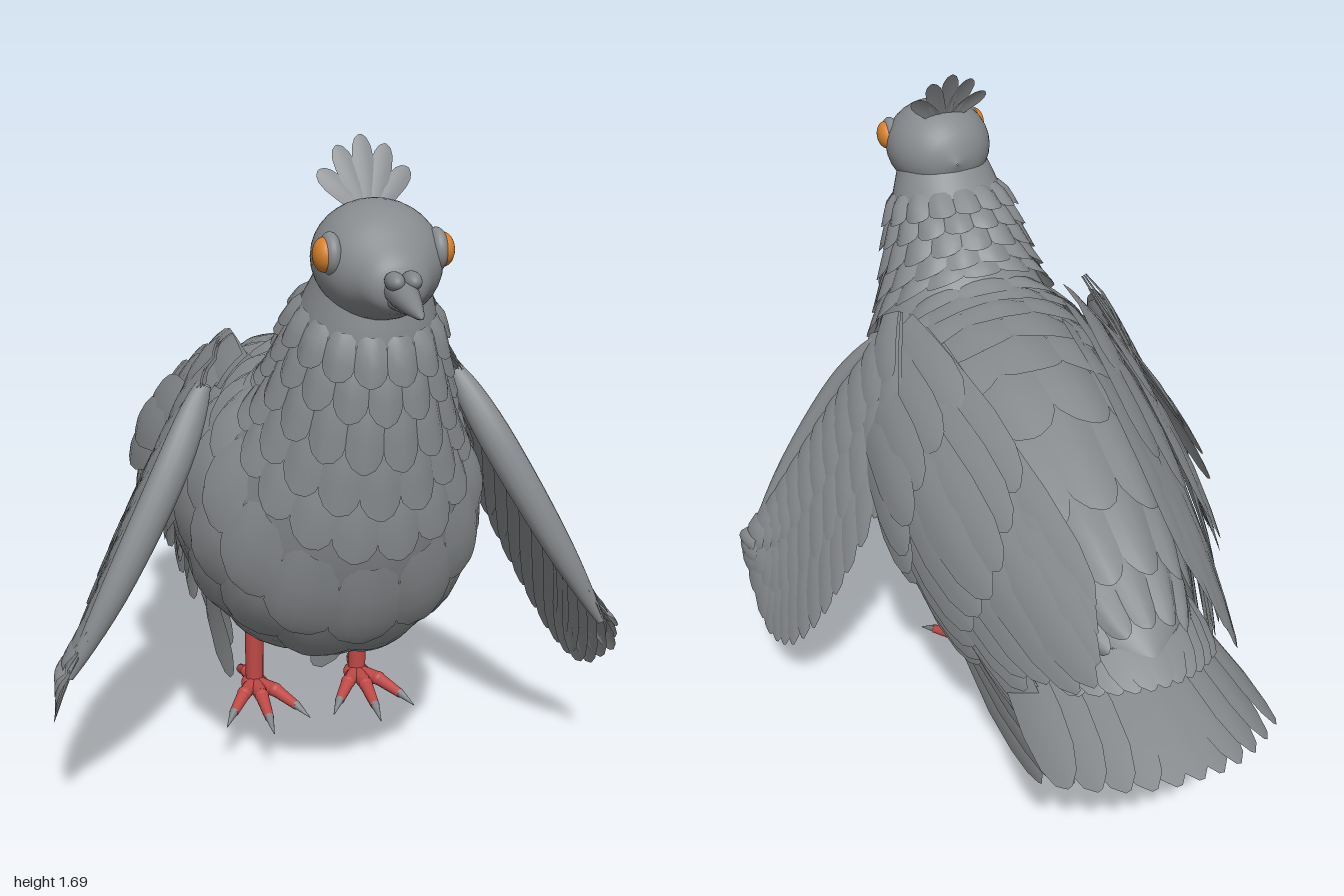
import * as THREE from 'three';
import { mergeGeometries } from 'three/addons/utils/BufferGeometryUtils.js';

const V = (x, y, z) => new THREE.Vector3(x, y, z);
const curve = (...pts) => new THREE.CatmullRomCurve3(pts.map((p) => V(...p)));
const mat = (name, color, side = THREE.FrontSide) => {
  const m = new THREE.MeshStandardMaterial({ color, side });
  m.name = name;
  return m;
};

// Open sheet from f(s, t), s in -1..1 across, t in 0..1 along
function sheet(f, cols, rows, sOf = (s) => s, tOf = (t) => t) {
  const pos = [], idx = [];
  for (let j = 0; j <= rows; j++) {
    for (let i = 0; i <= cols; i++) {
      pos.push(...f(sOf((i / cols) * 2 - 1, j), tOf(j / rows, j)).toArray());
      if (i < cols && j < rows) {
        const a = j * (cols + 1) + i, b = a + cols + 1;
        idx.push(a, a + 1, b, b, a + 1, b + 1);
      }
    }
  }
  const g = new THREE.BufferGeometry();
  g.setAttribute('position', new THREE.Float32BufferAttribute(pos, 3));
  g.setIndex(idx);
  g.computeVertexNormals();
  return g;
}

// Round-tipped feather laid on any surface f(s, t)
const ALONG = [0, 0.35, 0.65, 0.84, 0.95, 1];
const WIDE = [0.7, 0.92, 1, 0.86, 0.55, 0.12];
const feather = (f) => sheet(f, 4, 5, (s, j) => s * WIDE[j], (t, j) => ALONG[j]);

// Free feather from root a to tip b facing n
function quill(a, b, n, w, bend = 0.02) {
  const d = b.clone().sub(a);
  const side = d.clone().cross(n).normalize();
  const up = side.clone().cross(d).normalize();
  return feather((s, t) => a.clone().addScaledVector(d, t)
    .addScaledVector(side, w * s)
    .addScaledVector(up, bend * 4 * t * (1 - t) - w * 0.15 * s * s));
}

// Row of feathers between a root curve and a tip curve
function fan(roots, tips, n0, n1, count, w, bend) {
  return Array.from({ length: count }, (_, i) => {
    const k = i / (count - 1);
    return quill(roots.getPoint(k), tips.getPoint(k), n0.clone().lerp(n1, k).normalize(), w, bend);
  });
}

// Body sections from tail to neck: upper edge (half width, y, z) and lower edge (0, y, z)
const upper = curve([0.02, 0.74, -0.76], [0.12, 0.82, -0.66], [0.21, 0.96, -0.45], [0.3, 1.09, -0.1], [0.34, 1.13, 0.1],
  [0.35, 1.15, 0.24], [0.315, 1.17, 0.31], [0.255, 1.2, 0.34], [0.208, 1.25, 0.37], [0.172, 1.32, 0.41], [0.152, 1.38, 0.47], [0.125, 1.45, 0.54]);
const lower = curve([0, 0.69, -0.74], [0, 0.62, -0.64], [0, 0.51, -0.4], [0, 0.41, -0.1], [0, 0.37, 0.1],
  [0, 0.42, 0.38], [0, 0.55, 0.58], [0, 0.75, 0.685], [0, 0.95, 0.725], [0, 1.15, 0.75], [0, 1.28, 0.76], [0, 1.37, 0.75]);
function skin(u, v) {
  const k = THREE.MathUtils.clamp(u / 11, 0, 1);
  const a = upper.getPoint(k), b = lower.getPoint(k), c = Math.cos(v);
  return V(a.x * Math.sin(v), (a.y + b.y) / 2 + (a.y - b.y) / 2 * c, (a.z + b.z) / 2 + (a.z - b.z) / 2 * c);
}
function skinNormal(u, v) {
  const du = skin(u + 0.05, v).sub(skin(u - 0.05, v));
  const n = skin(u, v + 0.03).sub(skin(u, v - 0.03)).cross(du).normalize();
  return n.dot(skin(u, v).sub(skin(u, v + Math.PI))) < 0 ? n.negate() : n;
}
// Overlapping rings of feathers that follow the body
function plumage(from, to, step, length, count, lift) {
  const out = [];
  for (let u = from, row = 0; u >= to; u -= step, row++) {
    for (let i = 0; i < count; i++) {
      const v = ((i + (row % 2) / 2) / count) * Math.PI * 2;
      const half = (Math.PI / count) * 1.15;
      const n = skinNormal(u - length / 2, v);
      out.push(feather((s, t) => skin(u - t * length, v + s * half)
        .addScaledVector(n, 0.003 + lift * Math.sqrt(t) - 0.014 * s * s)));
    }
  }
  return out;
}

export function createModel() {
  const model = new THREE.Group();
  const grey = mat('plumage grey', 0x888b8e, THREE.DoubleSide);
  const dark = mat('beak grey', 0x808386);
  const red = mat('leg red', 0xc04a48);
  const orange = mat('eye orange', 0xd9822b);

  const add = (parent, name, geo, material) => {
    const m = new THREE.Mesh(Array.isArray(geo) ? mergeGeometries(geo) : geo, material);
    m.name = name;
    parent.add(m);
    return m;
  };
  const ball = (parent, name, p, r, material) => {
    const m = add(parent, name, new THREE.SphereGeometry(1, 28, 20), material);
    m.position.set(...p);
    m.scale.set(...r);
  };
  // Tapered rod between two points
  const rod = (parent, name, a, b, ra, rb, material) => {
    const p = V(...a), d = V(...b).sub(p);
    const m = add(parent, name, new THREE.CylinderGeometry(rb, ra, d.length(), 12), material);
    m.position.copy(p).addScaledVector(d, 0.5);
    m.quaternion.setFromUnitVectors(V(0, 1, 0), d.normalize());
  };

  // Body and its plumage
  add(model, 'body', sheet((s, t) => skin(t * 11, s * Math.PI), 40, 44), grey);
  add(model, 'neckFeathers', plumage(10.25, 8, 0.55, 0.9, 15, 0.026), grey);
  add(model, 'bodyFeathers', plumage(7, 1.6, 0.65, 1.1, 12, 0.024), grey);

  // Head as rings (radius, y, z) from nape to beak
  const skull = curve([0.002, 1.458, 0.515], [0.08, 1.459, 0.545], [0.124, 1.46, 0.6], [0.14, 1.457, 0.67],
    [0.127, 1.45, 0.74], [0.088, 1.437, 0.8], [0.055, 1.428, 0.84], [0.002, 1.424, 0.856]);
  add(model, 'head', sheet((s, t) => {
    const p = skull.getPoint(t), a = s * Math.PI;
    return V(Math.sin(a) * p.x, p.y + Math.cos(a) * p.x * 0.89, p.z);
  }, 32, 28), grey);
  const crest = [-0.1, -0.055, 0, 0.055, 0.1].map((x) =>
    quill(V(x * 0.2, 1.555, 0.61), V(x, 1.7 - 7 * x * x, 0.535 + 3 * x * x), V(0, 0.5, 1), 0.024, 0.004));
  add(model, 'crest', crest, grey);

  // Beak
  const beak = new THREE.LatheGeometry([[0.046, 0], [0.04, 0.05], [0.026, 0.11], [0.012, 0.155], [0, 0.175]]
    .map((p) => new THREE.Vector2(...p)), 16);
  const top = add(model, 'upperBeak', beak, dark);
  top.position.set(0, 1.428, 0.825);
  top.rotation.x = Math.PI / 2 + 0.17;
  top.scale.set(0.8, 1, 0.75);
  const low = add(model, 'lowerBeak', beak, dark);
  low.position.set(0, 1.402, 0.81);
  low.rotation.x = Math.PI / 2 + 0.05;
  low.scale.set(0.65, 0.8, 0.45);

  // Tail: roof-shaped fan with a covering layer above and a shorter one below
  const tail = [], tailCover = [], underTail = [];
  for (let i = -5; i <= 5; i++) {
    const k = i / 5, lift = 0.003 * (5 - Math.abs(i));
    tail.push(quill(V(0.21 * k, 0.67 - 0.07 * k * k + lift, -0.3), V(0.265 * k, 0.585 - 0.03 * k * k + lift, -0.995 + 0.13 * k * k), V(k * 0.9, 1, 0), 0.06, 0.02));
    tailCover.push(quill(V(0.16 * k, 0.86 - 0.12 * k * k, -0.4), V(0.17 * k, 0.72 - 0.05 * k * k, -0.81 + 0.1 * k * k), V(k * 0.6, 1, 0), 0.05));
    underTail.push(quill(V(0.17 * k, 0.52, -0.25), V(0.2 * k, 0.5 - 0.04 * k * k, -0.72 + 0.08 * k * k), V(k * 0.5, -1, 0), 0.05));
  }
  add(model, 'tailFeathers', tail, grey);
  add(model, 'tailCoverts', tailCover, grey);
  add(model, 'underTailCoverts', underTail, grey);

  // One side: eye, nostril knob, wing, leg
  const side = new THREE.Group();
  side.name = 'leftSide';
  ball(side, 'eyeRing', [0.115, 1.48, 0.725], [0.024, 0.047, 0.047], grey);
  ball(side, 'eye', [0.128, 1.48, 0.727], [0.025, 0.037, 0.037], orange);
  ball(side, 'nostrilKnob', [0.018, 1.447, 0.865], [0.02, 0.02, 0.032], dark);

  // Folded inner wing: flight feathers tucked under the tail and two layers of coverts
  const wing = new THREE.Group();
  wing.name = 'wing';
  side.add(wing);
  const nTop = V(0.75, 0.65, 0), nLow = V(0.9, -0.15, -0.42);
  add(wing, 'flightFeathers', fan(
    curve([0.2, 1.09, 0.2], [0.34, 0.93, 0.05], [0.35, 0.75, -0.1], [0.26, 0.55, 0]),
    curve([0.13, 0.9, -0.68], [0.18, 0.77, -0.8], [0.26, 0.63, -0.57], [0.19, 0.46, -0.69], [0.09, 0.23, -0.58], [0.12, 0.01, -0.35]),
    nTop, nLow, 17, 0.068, 0.03), grey);
  add(wing, 'longCoverts', fan(
    curve([0.23, 1.11, 0.25], [0.36, 0.97, 0.15], [0.38, 0.8, 0.05], [0.31, 0.6, 0.05]),
    curve([0.18, 1.02, -0.35], [0.29, 0.86, -0.48], [0.33, 0.69, -0.42], [0.29, 0.52, -0.36], [0.25, 0.38, -0.18]),
    nTop, nLow, 11, 0.075, 0.025), grey);
  add(wing, 'shortCoverts', fan(
    curve([0.25, 1.13, 0.3], [0.36, 0.98, 0.28], [0.38, 0.86, 0.2], [0.34, 0.7, 0.12]),
    curve([0.22, 1.08, -0.06], [0.36, 0.95, -0.16], [0.42, 0.8, -0.21], [0.38, 0.65, -0.15], [0.31, 0.55, -0.06]),
    nTop, nLow, 9, 0.07, 0.02), grey);

  // Drooping outer wing: feathers sweep back from the leading edge in layers
  const lead = curve([0.27, 1.18, 0.29], [0.41, 0.93, 0.37], [0.56, 0.66, 0.43], [0.68, 0.45, 0.45]);
  const trail = curve([0.39, 0.84, 0.01], [0.51, 0.61, 0.02], [0.6, 0.42, 0.06], [0.665, 0.28, 0.16], [0.695, 0.25, 0.27], [0.7, 0.36, 0.42]);
  const nWing = V(0.85, 0.52, -0.1).normalize();
  for (const [name, reach, count, w, off] of [['outerFlightFeathers', 1, 15, 0.055, 0],
    ['outerLongCoverts', 0.7, 13, 0.052, 0.012], ['outerShortCoverts', 0.42, 13, 0.05, 0.022]]) {
    const geos = [];
    for (let i = 0; i < count; i++) {
      const k = i / (count - 1);
      const a = lead.getPoint(k * 0.96);
      const b = a.clone().lerp(trail.getPoint(k), reach).addScaledVector(nWing, off);
      geos.push(quill(a.addScaledVector(nWing, off * 0.5), b, nWing, w, 0.015));
    }
    add(wing, name, geos, grey);
  }
  // Padded leading edge
  const arm = curve([0.31, 1.1, 0.31], [0.4, 0.93, 0.385], [0.55, 0.66, 0.445], [0.67, 0.45, 0.46]);
  add(wing, 'wingArm', sheet((s, t) => {
    const r = 0.045 * Math.pow(Math.sin(Math.PI * (0.04 + 0.93 * t)), 0.5) * (1 - 0.4 * t);
    return arm.getPoint(t).add(V(Math.cos(s * Math.PI) * r, Math.cos(s * Math.PI) * r * 0.6, Math.sin(s * Math.PI) * r));
  }, 14, 16), grey);

  // Leg with four clawed toes
  const leg = new THREE.Group();
  leg.name = 'leg';
  side.add(leg);
  rod(leg, 'shank', [0.143, 0.18, 0.06], [0.143, 0.46, 0.06], 0.024, 0.027, red);
  ball(leg, 'ankle', [0.143, 0.178, 0.06], [0.036, 0.024, 0.042], red);
  for (const [x, z] of [[0, 0.185], [-0.085, 0.135], [0.085, 0.135], [0.015, -0.115]]) {
    const at = (k, y) => [0.143 + x * k, y, 0.06 + z * k];
    rod(leg, 'toeBase', at(0, 0.178), at(0.5, 0.185), 0.022, 0.018, red);
    ball(leg, 'toeJoint', at(0.5, 0.185), [0.019, 0.019, 0.019], red);
    rod(leg, 'toeEnd', at(0.5, 0.185), at(1, 0.167), 0.018, 0.012, red);
    rod(leg, 'claw', at(0.97, 0.17), at(1.3, 0.15), 0.012, 0.001, dark);
  }
  model.add(side);
  const other = side.clone();
  other.name = 'rightSide';
  other.scale.x = -1;
  model.add(other);
  return model;
}
